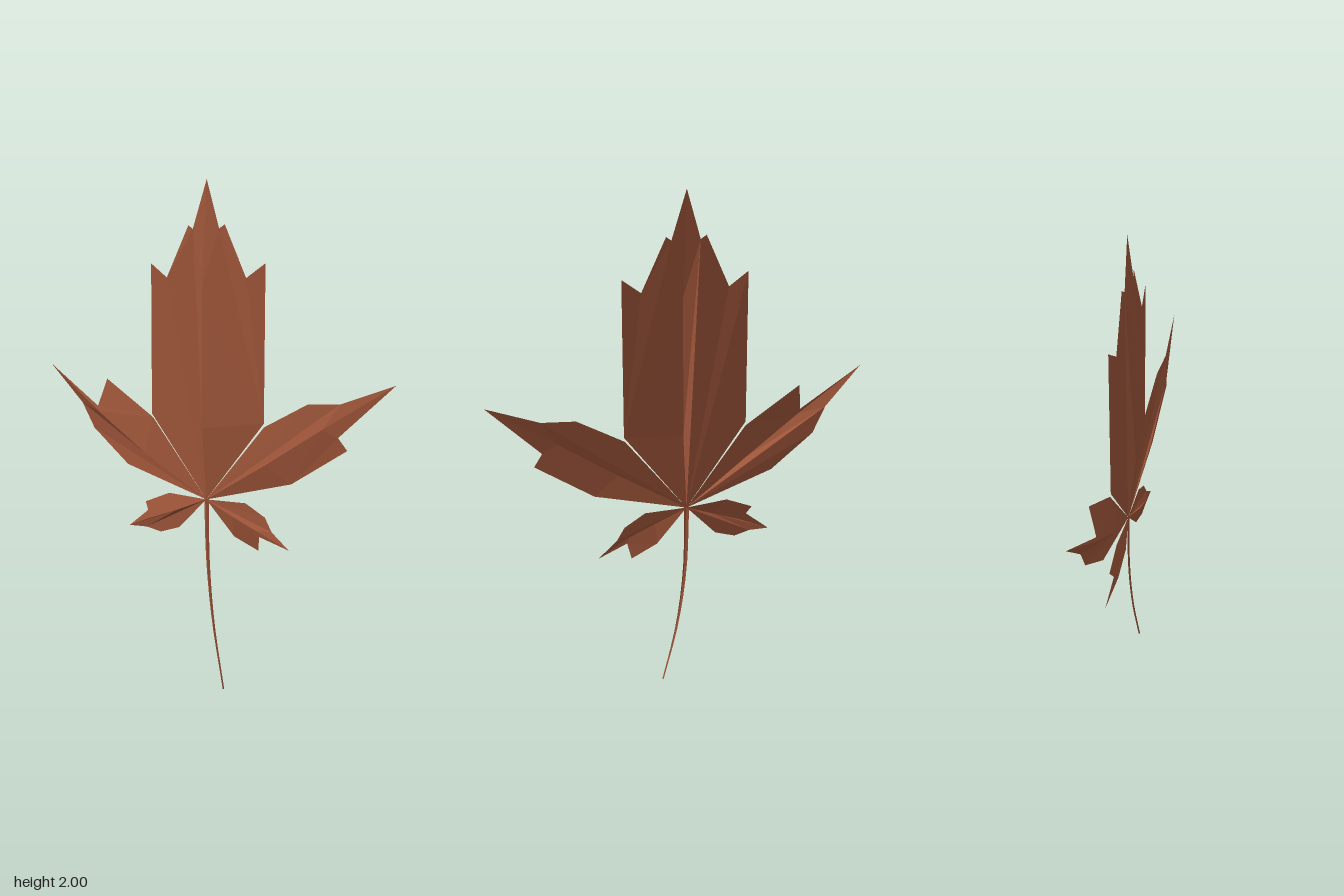
import * as THREE from 'three';

const BASE = [0, 0.76, -0.01];

// One folded blade: a raised midrib with an outline of [x, y, z] points on each side.
function makeLobe(name, material, midrib, tip, sides) {
  const positions = [];
  for (const edge of sides) {
    const ring = [BASE, ...midrib, tip, ...[...edge].reverse()];
    const flat = ring.map(([x, y]) => new THREE.Vector2(x, y));
    const ccw = !THREE.ShapeUtils.isClockWise(flat);
    const loop = ccw ? ring : [...ring].reverse();
    const outline = loop.map(([x, y]) => new THREE.Vector2(x, y));
    for (const face of THREE.ShapeUtils.triangulateShape(outline, [])) {
      for (const i of face) positions.push(...loop[i]);
    }
  }
  return makeMesh(name, material, positions);
}

function makeMesh(name, material, positions) {
  const geometry = new THREE.BufferGeometry();
  geometry.setAttribute('position', new THREE.Float32BufferAttribute(positions, 3));
  geometry.computeVertexNormals();
  const mesh = new THREE.Mesh(geometry, material);
  mesh.name = name;
  return mesh;
}

// Tapering ribbon with a shallow crease down its middle.
function makeStem(material) {
  const curve = new THREE.CatmullRomCurve3([
    new THREE.Vector3(0, 0.765, -0.008),
    new THREE.Vector3(0.008, 0.5, -0.008),
    new THREE.Vector3(0.04, 0.25, 0),
    new THREE.Vector3(0.098, 0, 0.016),
  ]);
  const steps = 10;
  const rows = curve.getPoints(steps).map((p, i) => {
    const w = THREE.MathUtils.lerp(0.011, 0.003, i / steps);
    return [[p.x - w, p.y, p.z - 0.003], [p.x, p.y, p.z + 0.003], [p.x + w, p.y, p.z - 0.003]];
  });
  const positions = [];
  for (let i = 0; i < steps; i++) {
    for (let j = 0; j < 2; j++) {
      const a = rows[i][j], b = rows[i][j + 1], c = rows[i + 1][j], d = rows[i + 1][j + 1];
      for (const p of [a, c, b, b, c, d]) positions.push(...p);
    }
  }
  return makeMesh('stem', material, positions);
}

export function createModel() {
  const leaf = new THREE.Group();
  leaf.name = 'leaf';
  const rust = new THREE.MeshStandardMaterial({ color: 0xa0563a, side: THREE.DoubleSide, flatShading: true });
  rust.name = 'rust brown';

  // Broad centre lobe, mirrored about its midrib
  const centreEdge = [[0.262, 1.085, -0.008], [0.262, 1.685, -0.01], [0.182, 1.63, -0.004],
    [0.083, 1.83, -0.01], [0.06, 1.815, -0.006]];
  leaf.add(makeLobe('centreLobe', rust, [[0, 1.05, 0.02], [0, 1.6, 0.02]], [0, 2, -0.012],
    [centreEdge, centreEdge.map(([x, y, z]) => [-x, y, z])]));

  // Long side lobes
  leaf.add(makeLobe('leftSideLobe', rust, [[0.28, 0.93, 0.014], [0.52, 1.085, 0.018]], [0.795, 1.262, -0.01], [
    [[0.26, 1.07, -0.012], [0.45, 1.172, -0.004], [0.585, 1.182, 0.002]],
    [[0.385, 0.865, -0.004], [0.617, 1.015, 0.002], [0.582, 1.06, 0.008]],
  ]));
  leaf.add(makeLobe('rightSideLobe', rust, [[-0.28, 0.925, 0.018], [-0.52, 1.08, 0.018]], [-0.795, 1.262, -0.01], [
    [[-0.26, 1.07, -0.012], [-0.5, 1.212, -0.02], [-0.525, 1.1, 0.012]],
    [[-0.385, 0.865, -0.006], [-0.57, 1.0, -0.018], [-0.63, 1.105, -0.014]],
  ]));

  // Small lower lobes
  leaf.add(makeLobe('leftLowerLobe', rust, [[0.13, 0.71, 0.008], [0.24, 0.668, 0.008]], [0.377, 0.607, -0.006], [
    [[0.18, 0.766, -0.012], [0.268, 0.72, -0.012], [0.3, 0.668, -0.008]],
    [[0.13, 0.628, -0.01], [0.24, 0.585, -0.012], [0.252, 0.645, 0.004]],
  ]));
  leaf.add(makeLobe('rightLowerLobe', rust, [[-0.13, 0.705, 0.014], [-0.25, 0.66, 0.015]], [-0.378, 0.607, -0.004], [
    [[-0.18, 0.766, -0.01], [-0.297, 0.717, -0.008], [-0.277, 0.685, 0.004]],
    [[-0.13, 0.63, -0.008], [-0.22, 0.6, -0.006], [-0.29, 0.612, -0.004]],
  ]));

  leaf.add(makeStem(rust));
  return leaf;
}
